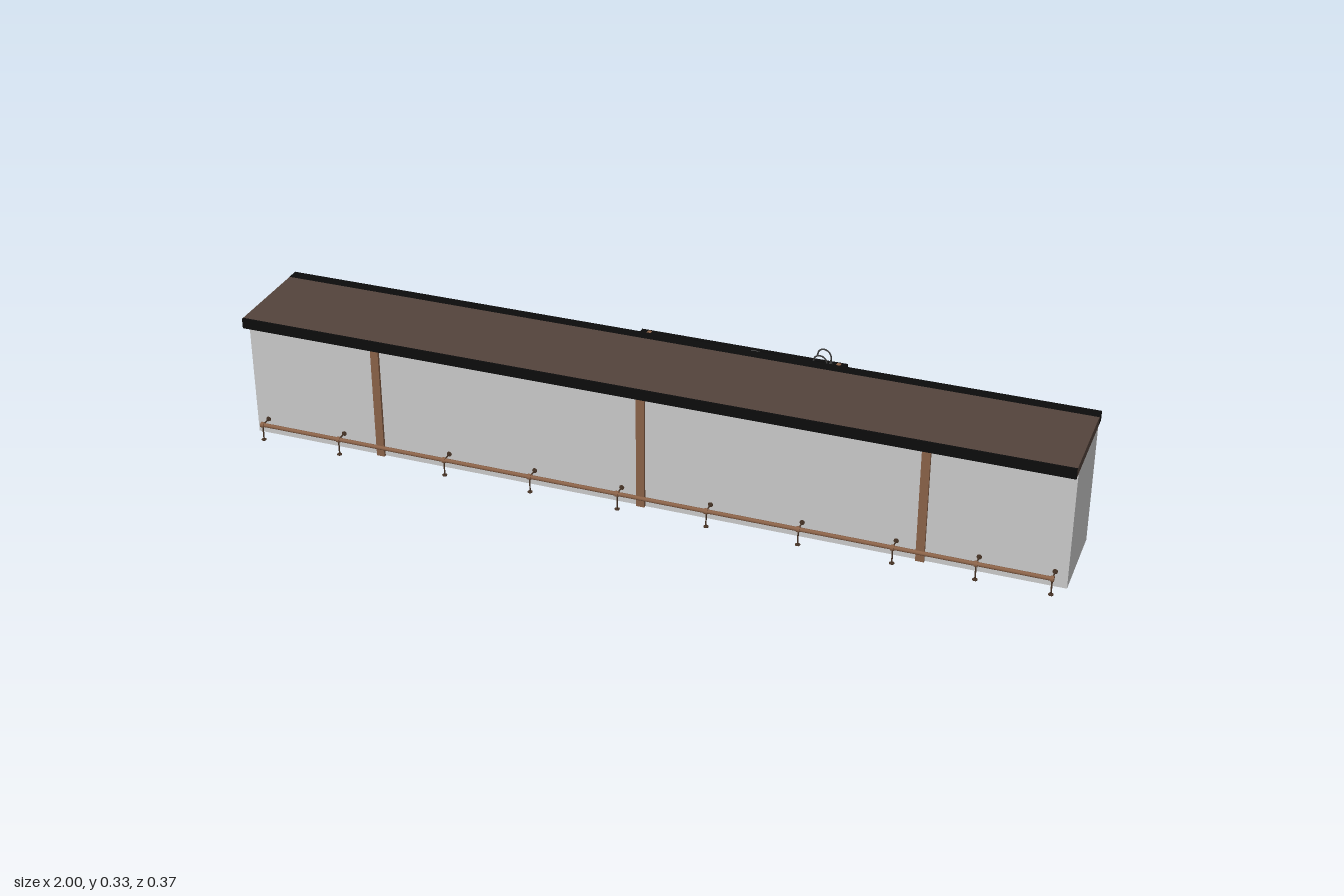
import * as THREE from 'three';

const mat = (color, side = THREE.FrontSide) => new THREE.MeshStandardMaterial({ color, side });
const GREY = mat(0xcccccc, THREE.DoubleSide);
const BLACK = mat(0x0c0c0c);
const WOOD = mat(0x54443c);
const COPPER = mat(0x8a6248);
const BRONZE = mat(0x4a3628);
const STEEL = mat(0x777777, THREE.DoubleSide);
const DARK_STEEL = mat(0x3c3c3c);

export function createModel() {
  const root = new THREE.Group();
  root.name = 'barCounter';

  const add = (name, geometry, material, parent = root) => {
    const mesh = new THREE.Mesh(geometry, material);
    mesh.name = name;
    parent.add(mesh);
    return mesh;
  };
  // Box given by its min and max on each axis
  const box = (name, material, x0, x1, y0, y1, z0, z1, parent = root) => {
    const g = new THREE.BoxGeometry(x1 - x0, y1 - y0, z1 - z0);
    g.translate((x0 + x1) / 2, (y0 + y1) / 2, (z0 + z1) / 2);
    return add(name, g, material, parent);
  };
  const rod = (name, material, a, b, r0, r1 = r0, parent = root, sides = 12) => {
    const from = new THREE.Vector3(...a), to = new THREE.Vector3(...b);
    const dir = to.clone().sub(from);
    const m = add(name, new THREE.CylinderGeometry(r1, r0, dir.length(), sides), material, parent);
    m.position.copy(from).addScaledVector(dir, 0.5);
    m.quaternion.setFromUnitVectors(new THREE.Vector3(0, 1, 0), dir.normalize());
    return m;
  };
  // Upright open wall following a plan outline of [x, z] points
  const wall = (name, material, plan, y0, y1) => {
    const pos = [];
    for (let i = 0; i < plan.length - 1; i++) {
      const [ax, az] = plan[i], [bx, bz] = plan[i + 1];
      pos.push(ax, y0, az, bx, y0, bz, bx, y1, bz, ax, y0, az, bx, y1, bz, ax, y1, az);
    }
    const g = new THREE.BufferGeometry();
    g.setAttribute('position', new THREE.Float32BufferAttribute(pos, 3));
    g.computeVertexNormals();
    return add(name, g, material);
  };

  // Hollow bar body, open underneath
  wall('barBody', GREY, [[-0.999, 0.148], [0.999, 0.148], [0.999, -0.064], [-0.999, -0.064], [-0.999, 0.148]], 0.003, 0.303);

  // Counter top with dark front and back edges
  box('counterTop', WOOD, -1, 1, 0.302, 0.325, -0.068, 0.173);
  box('frontEdge', BLACK, -1, 1, 0.3, 0.3255, 0.172, 0.177);
  box('frontUnderTrim', BLACK, -0.999, 0.999, 0.298, 0.302, 0.149, 0.173);
  box('backEdge', BLACK, -1, 1, 0.302, 0.3255, -0.09, -0.068);
  box('backEdgeLining', BLACK, -1, 1, 0.302, 0.3252, -0.0685, -0.061);

  // Front and back posts
  for (const x of [-0.667, 0, 0.667]) {
    box('frontPost', COPPER, x - 0.01, x + 0.01, 0.003, 0.3, 0.147, 0.155);
    box('backPost', BLACK, x - 0.012, x + 0.012, 0.003, 0.302, -0.07, -0.06);
  }

  // Foot rail on brackets
  const railY = 0.042, railZ = 0.179;
  rod('footRail', COPPER, [-0.972, railY, railZ], [0.972, railY, railZ], 0.005);
  for (const x of [-0.97, -0.765, -0.487, -0.267, -0.048, 0.17, 0.39, 0.61, 0.8, 0.97]) {
    const bracket = new THREE.Group();
    bracket.name = 'railBracket';
    root.add(bracket);
    rod('railCollar', COPPER, [x - 0.004, railY, railZ], [x + 0.004, railY, railZ], 0.007, 0.007, bracket, 16);
    rod('wallArm', BRONZE, [x, railY, railZ], [x, railY, 0.146], 0.0018, 0.0018, bracket, 8);
    rod('wallPlate', BRONZE, [x, railY, 0.146], [x, railY, 0.15], 0.006, 0.006, bracket);
    rod('floorStem', BRONZE, [x, 0, railZ], [x, railY, railZ], 0.0018, 0.0018, bracket, 8);
    rod('floorPlate', BRONZE, [x, 0, railZ], [x, 0.002, railZ], 0.006, 0.006, bracket);
  }

  // Sink cabinet with chamfered corners, open underneath
  wall('sinkCabinet', GREY, [[0.35, -0.07], [0.35, -0.17], [0.332, -0.185], [-0.064, -0.185],
    [-0.082, -0.17], [-0.082, -0.07]], 0.008, 0.256);

  // Pillars beside the cabinet, with inlay and layered capital
  for (const x of [-0.107, 0.37]) {
    const pillar = new THREE.Group();
    pillar.name = 'sinkPillar';
    root.add(pillar);
    box('pillarBack', BLACK, x - 0.026, x + 0.026, 0.003, 0.302, -0.07, -0.06, pillar);
    box('pillarShaft', BLACK, x - 0.02, x + 0.02, 0.008, 0.28, -0.084, -0.07, pillar);
    box('pillarInlay', COPPER, x - 0.006, x + 0.006, 0.01, 0.252, -0.0855, -0.08, pillar);
    box('capitalCore', COPPER, x - 0.016, x + 0.016, 0.28, 0.302, -0.08, -0.068, pillar);
    for (const y of [0.284, 0.295]) box('capitalBand', COPPER, x - 0.02, x + 0.02, y, y + 0.005, -0.085, -0.068, pillar);
    box('capitalDarkBand', BLACK, x - 0.021, x + 0.021, 0.29, 0.294, -0.083, -0.068, pillar);
  }

  // Sink top with basin openings
  const rect = (shape, x0, x1, z0, z1) => {
    shape.moveTo(x0, -z0);
    shape.lineTo(x0, -z1);
    shape.lineTo(x1, -z1);
    shape.lineTo(x1, -z0);
    shape.closePath();
    return shape;
  };
  const basins = [[-0.06, 0.12, 0.266], [0.155, 0.235, 0.215], [0.26, 0.335, 0.215]];
  const top = rect(new THREE.Shape(), -0.122, 0.39, -0.185, -0.07);
  for (const [x0, x1] of basins) top.holes.push(rect(new THREE.Path(), x0, x1, -0.175, -0.094));
  const topGeo = new THREE.ExtrudeGeometry(top, { depth: 0.027, bevelEnabled: false });
  topGeo.rotateX(-Math.PI / 2);
  topGeo.translate(0, 0.253, 0);
  add('sinkTop', topGeo, BLACK);
  for (const x of [-0.1, 0.371]) box('sinkTopInlay', COPPER, x - 0.005, x + 0.005, 0.279, 0.281, -0.18, -0.09);

  for (const [x0, x1, floor] of basins) {
    wall('basinWalls', STEEL, [[x0, -0.175], [x1, -0.175], [x1, -0.094], [x0, -0.094], [x0, -0.175]], floor, 0.279);
    box('basinFloor', STEEL, x0, x1, floor - 0.002, floor, -0.175, -0.094);
  }
  for (const x of [-0.03, -0.005]) box('drainRib', DARK_STEEL, x - 0.002, x + 0.002, 0.266, 0.269, -0.173, -0.096);

  // Pair of arched taps
  for (const z of [-0.111, -0.144]) {
    const tap = new THREE.Group();
    tap.name = 'tap';
    root.add(tap);
    const x = 0.36;
    rod('tapFoot', DARK_STEEL, [x, 0.28, z], [x, 0.285, z], 0.008, 0.007, tap);
    rod('tapBase', DARK_STEEL, [x, 0.285, z], [x, 0.301, z], 0.006, 0.003, tap);
    const path = new THREE.CatmullRomCurve3([[0, 0.298], [0, 0.315], [-0.006, 0.326], [-0.017, 0.3305], [-0.028, 0.326], [-0.033, 0.312]]
      .map(([dx, y]) => new THREE.Vector3(x + dx, y, z)));
    add('tapSpout', new THREE.TubeGeometry(path, 20, 0.0019, 8), DARK_STEEL, tap);
  }
  return root;
}
